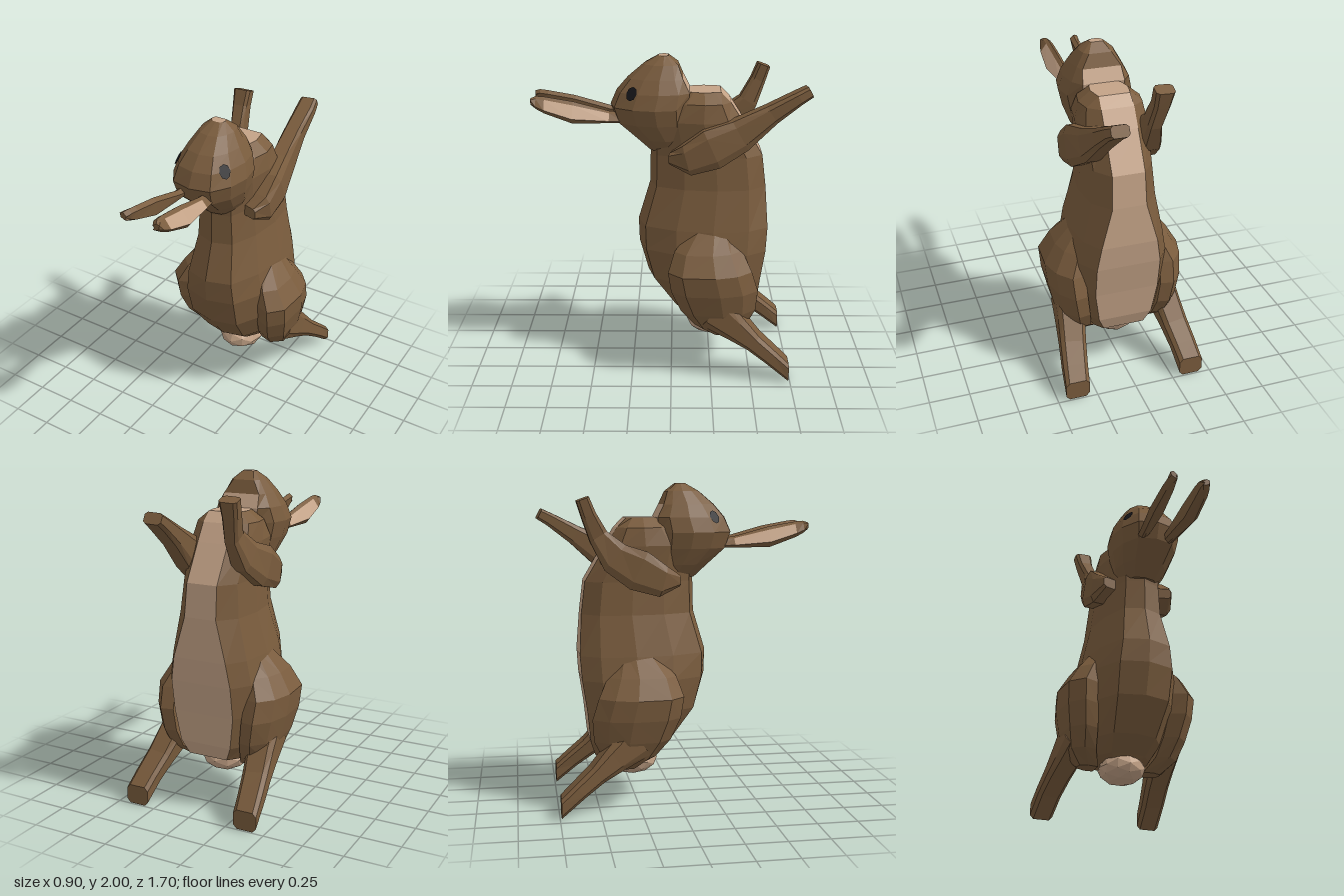
import * as THREE from 'three';

const fur = new THREE.MeshStandardMaterial({ color: 0x7a5c3d });
fur.name = 'brownFur';
const cream = new THREE.MeshStandardMaterial({ color: 0xc4a387 });
cream.name = 'creamFur';
const black = new THREE.MeshStandardMaterial({ color: 0x16161a });
black.name = 'blackEye';

// Faceted skin over rings of points; isCream(ring, side) picks the colour, caps use side -1
function loft(name, rings, isCream = () => false) {
  const tris = [[], []];
  const n = rings[0].length;
  let volume = 0;
  const add = (m, a, b, c) => {
    volume += a.dot(b.clone().cross(c));
    tris[m].push([a, b, c]);
  };
  for (let i = 0; i < rings.length - 1; i++) {
    for (let j = 0; j < n; j++) {
      const k = (j + 1) % n, m = isCream(i, j) ? 1 : 0;
      add(m, rings[i][j], rings[i + 1][j], rings[i + 1][k]);
      add(m, rings[i][j], rings[i + 1][k], rings[i][k]);
    }
  }
  [0, rings.length - 1].forEach((i) => {
    const c = new THREE.Vector3();
    rings[i].forEach((p) => c.addScaledVector(p, 1 / n));
    for (let j = 0; j < n; j++) {
      const a = rings[i][j], b = rings[i][(j + 1) % n], m = isCream(i, -1) ? 1 : 0;
      if (i === 0) add(m, c, a, b);
      else add(m, c, b, a);
    }
  });
  const positions = [];
  const geometry = new THREE.BufferGeometry();
  tris.forEach((list, m) => {
    geometry.addGroup(positions.length / 3, list.length * 3, m);
    for (const [a, b, c] of list) {
      for (const p of volume > 0 ? [a, b, c] : [a, c, b]) positions.push(p.x, p.y, p.z);
    }
  });
  geometry.setAttribute('position', new THREE.Float32BufferAttribute(positions, 3));
  geometry.computeVertexNormals();
  const mesh = new THREE.Mesh(geometry, [fur, cream]);
  mesh.name = name;
  return mesh;
}

// Level cross-section: rounded back at zBack, flat strip of half width strip at zBelly
function trunkRing([y, zBack, zBelly, w, strip]) {
  const d = zBack - zBelly;
  const half = [[0.56, 0.06], [0.88, 0.3], [1, 0.58], [0.9, 0.85]]
    .map(([x, f]) => [x * w, zBack - f * d]);
  half.push([strip, zBelly]);
  const left = half.map(([x, z]) => new THREE.Vector3(x, y, z));
  const right = half.map(([x, z]) => new THREE.Vector3(-x, y, z)).reverse();
  return [new THREE.Vector3(0, y, zBack), ...left, ...right];
}
const BELLY = 5;

// Limb with a bevelled box section through stations [x, y, z, halfWidth, halfThickness]
const SECTION = [[1, -0.6], [1, 0.6], [0.7, 1], [-0.7, 1], [-1, 0.6], [-1, -0.6], [-0.7, -1], [0.7, -1]];
function limb(name, stations, s, endDir) {
  const pts = stations.map(([x, y, z]) => new THREE.Vector3(x * s, y, z));
  const last = pts.length - 1;
  const rings = stations.map(([, , , rx, ry], i) => {
    const dir = i === last && endDir ? endDir
      : pts[Math.min(i + 1, last)].clone().sub(pts[Math.max(i - 1, 0)]).normalize();
    const side = new THREE.Vector3(1, 0, 0).addScaledVector(dir, -dir.x).normalize();
    const up = dir.clone().cross(side);
    return SECTION.map(([u, v]) => pts[i].clone().addScaledVector(side, u * rx).addScaledVector(up, v * ry));
  });
  return loft(name, rings);
}

// Haunch from level sections [y, front z, rear z, outer x]
function haunch(name, s) {
  const rings = [
    [0.25, -0.26, -0.38, 0.28], [0.33, -0.15, -0.48, 0.365], [0.44, -0.06, -0.53, 0.4],
    [0.58, 0, -0.54, 0.43], [0.71, 0.02, -0.5, 0.438], [0.83, -0.02, -0.44, 0.365], [0.97, -0.14, -0.37, 0.255],
  ].map(([y, zf, zb, xo]) => {
    const d = zf - zb;
    return [[0.55, 0.08], [0.78, 0], [0.97, 0.17], [1, 0.56], [0.92, 0.82], [0.74, 1], [0.55, 0.97]]
      .map(([x, f]) => new THREE.Vector3(x * xo * s, y, zf - f * d));
  });
  return loft(name, rings);
}

// Ear along z: brown rim around a cream face on the outer upper side
function ear(name, s) {
  const stations = [ // z, inner x, outer x, low y, high y
    [0.3, 0.05, 0.12, 1.6, 1.66], [0.38, 0.05, 0.13, 1.6, 1.67], [0.6, 0.06, 0.16, 1.605, 1.73],
    [0.77, 0.065, 0.15, 1.665, 1.76], [0.82, 0.07, 0.14, 1.69, 1.765], [0.85, 0.085, 0.125, 1.71, 1.755],
  ];
  const rings = stations.map(([z, xi, xo, yl, yh]) => {
    const h = yh - yl;
    return [[xo - 0.025, yl], [xo, yl + 0.25 * h], [xi + 0.045, yl + 0.84 * h], [xi + 0.025, yh],
      [xi, yh - 0.02], [xi + 0.01, yl + 0.015], [xo - 0.04, yl]]
      .map(([x, y]) => new THREE.Vector3(x * s, y, z));
  });
  return loft(name, rings, (i, j) => j === 1 && (i === 1 || i === 2));
}

export function createModel() {
  const model = new THREE.Group();
  model.name = 'rabbit';

  // Upright body with a pale belly strip
  const bodyRings = [
    [0.27, -0.16, -0.42, 0.12, 0.08], [0.31, -0.12, -0.51, 0.2, 0.13], [0.4, 0, -0.54, 0.25, 0.17],
    [0.6, 0.15, -0.56, 0.3, 0.2], [0.8, 0.205, -0.59, 0.31, 0.2], [0.95, 0.21, -0.6, 0.28, 0.175],
    [1.2, 0.135, -0.585, 0.22, 0.105], [1.4, 0.13, -0.56, 0.2, 0.1], [1.62, 0.13, -0.43, 0.21, 0.1],
    [1.73, 0.02, -0.36, 0.19, 0.1], [1.79, -0.06, -0.3, 0.115, 0.095],
  ].map(trunkRing);
  model.add(loft('body', bodyRings, (i, j) => (j === BELLY && i > 0) || (j === -1 && i > 0)));

  // Head thrown back, with pale chin and nose
  const headRings = [
    [1.42, 0.14, -0.1, 0.12, 0.08], [1.5, 0.225, -0.1, 0.17, 0.08], [1.6, 0.34, -0.1, 0.205, 0.1],
    [1.7, 0.375, -0.1, 0.225, 0.12], [1.79, 0.335, -0.11, 0.2, 0.13], [1.87, 0.265, -0.07, 0.155, 0.12],
    [1.95, 0.17, -0.04, 0.105, 0.07], [2, 0.08, 0.02, 0.045, 0.035],
  ].map(trunkRing);
  model.add(loft('head', headRings, (i, j) => (j === BELLY && (i === 3 || i === 4)) || (j === -1 && i > 0)));

  // Short tail
  const tailGeometry = new THREE.IcosahedronGeometry(1, 1).scale(0.15, 0.095, 0.165);
  tailGeometry.computeVertexNormals();
  const tail = new THREE.Mesh(tailGeometry, cream);
  tail.name = 'tail';
  tail.position.set(0, 0.245, -0.265);
  model.add(tail);

  for (const s of [1, -1]) {
    const side = s > 0 ? 'left' : 'right';
    model.add(ear(side + 'Ear', s));

    // Eye plate resting on the cheek
    const normal = new THREE.Vector3(0.86 * s, 0.55, 0.51).normalize();
    const eye = new THREE.Mesh(new THREE.CircleGeometry(0.045, 8), black);
    eye.name = side + 'Eye';
    eye.scale.x = 0.8;
    eye.position.set(0.155 * s, 1.79, 0.236).addScaledVector(normal, 0.006);
    eye.lookAt(eye.position.clone().add(normal));
    model.add(eye);

    // Haunch and hind leg with a flat-ended foot
    model.add(haunch(side + 'Haunch', s));
    model.add(limb(side + 'HindLeg', [
      [0.3, 0.45, -0.27, 0.09, 0.12], [0.32, 0.34, -0.41, 0.085, 0.085], [0.34, 0.25, -0.52, 0.08, 0.058],
      [0.36, 0.16, -0.63, 0.077, 0.05], [0.373, 0.065, -0.74, 0.075, 0.06],
    ], s, new THREE.Vector3(0, 0, -1)));
  }

  // Left foreleg reaches out, right foreleg is raised
  const shoulder = [[0.18, 1.41, 0.0, 0.06, 0.035], [0.21, 1.41, -0.1, 0.075, 0.095], [0.21, 1.475, -0.24, 0.075, 0.125]];
  model.add(limb('leftForeleg', [
    ...shoulder, [0.185, 1.55, -0.41, 0.065, 0.1], [0.165, 1.675, -0.6, 0.06, 0.06],
    [0.158, 1.775, -0.76, 0.06, 0.04], [0.15, 1.81, -0.825, 0.055, 0.035],
  ], 1));
  model.add(limb('rightForeleg', [
    ...shoulder, [0.185, 1.55, -0.38, 0.065, 0.1], [0.17, 1.68, -0.48, 0.045, 0.06],
    [0.19, 1.81, -0.54, 0.05, 0.045], [0.195, 1.905, -0.575, 0.058, 0.04],
  ], -1));

  return model;
}
